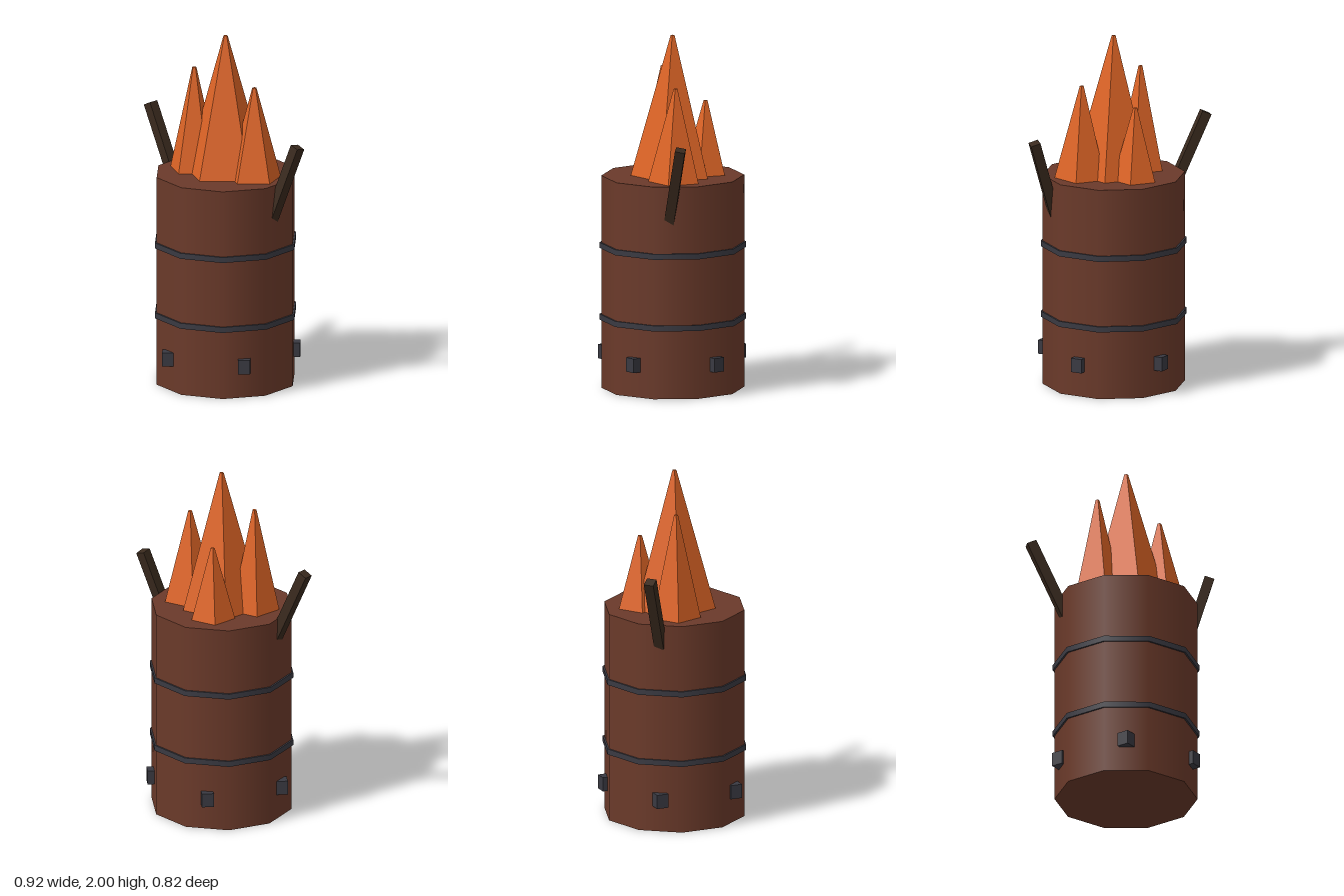
import * as THREE from 'three';

const mat = (name, color, extra = {}) => {
  const m = new THREE.MeshStandardMaterial({ color, ...extra });
  m.name = name;
  return m;
};

export function createModel() {
  const wood = mat('barrel brown', 0x6b3a2a);
  const iron = mat('dark iron', 0x3a3a42);
  const fire = mat('flame orange', 0xdd6426, { flatShading: true });
  const char = mat('charred wood', 0x3a2a1e);

  const model = new THREE.Group();
  model.name = 'burningBarrel';
  const cx = 0.0125; // barrel axis
  const H = 1.205;

  const add = (name, geometry, material, x, y, z) => {
    const mesh = new THREE.Mesh(geometry, material);
    mesh.name = name;
    mesh.position.set(x, y, z);
    model.add(mesh);
    return mesh;
  };

  // Ten-sided barrel with two hoops
  add('barrel', new THREE.CylinderGeometry(0.4, 0.4, H, 10), wood, cx, H / 2, 0);
  for (const y of [0.403, 0.81]) {
    add('hoop', new THREE.CylinderGeometry(0.41, 0.41, 0.032, 10), iron, cx, y, 0);
  }

  // Five blocks around the foot, all square to the axes
  for (let i = 0; i < 5; i++) {
    const a = (i / 5) * Math.PI * 2;
    add('ventBlock', new THREE.BoxGeometry(0.068, 0.08, 0.068), iron,
      cx + Math.cos(a) * 0.385, 0.185, Math.sin(a) * 0.385);
  }

  // Five-sided flames: x, z, base radius, tip height
  const flames = [
    [cx, 0, 0.237, 2.0],
    [-0.165, -0.07, 0.143, 1.795],
    [0.178, 0.11, 0.155, 1.73],
    [0.082, -0.18, 0.13, 1.62],
  ];
  for (const [x, z, r, top] of flames) {
    const h = top - H + 0.005;
    add('flame', new THREE.CylinderGeometry(0.012, r, h, 5, 1, false, Math.PI), fire, x, top - h / 2, z);
  }

  // Charred sticks leaning out: centre of the upper end, direction, length
  const sticks = [
    [[0.426, 1.433, 0.272], [0.345, 1, 0.09], 0.5],
    [[-0.421, 1.508, -0.343], [-0.35, 1, -0.305], 0.55],
  ];
  const up = new THREE.Vector3(0, 1, 0);
  for (const [end, dir, length] of sticks) {
    const d = new THREE.Vector3(...dir).normalize();
    const geometry = new THREE.BoxGeometry(0.056, length, 0.056);
    geometry.translate(0, -length / 2, 0).rotateY(Math.PI / 4);
    add('stick', geometry, char, ...end).quaternion.setFromUnitVectors(up, d);
  }

  return model;
}
